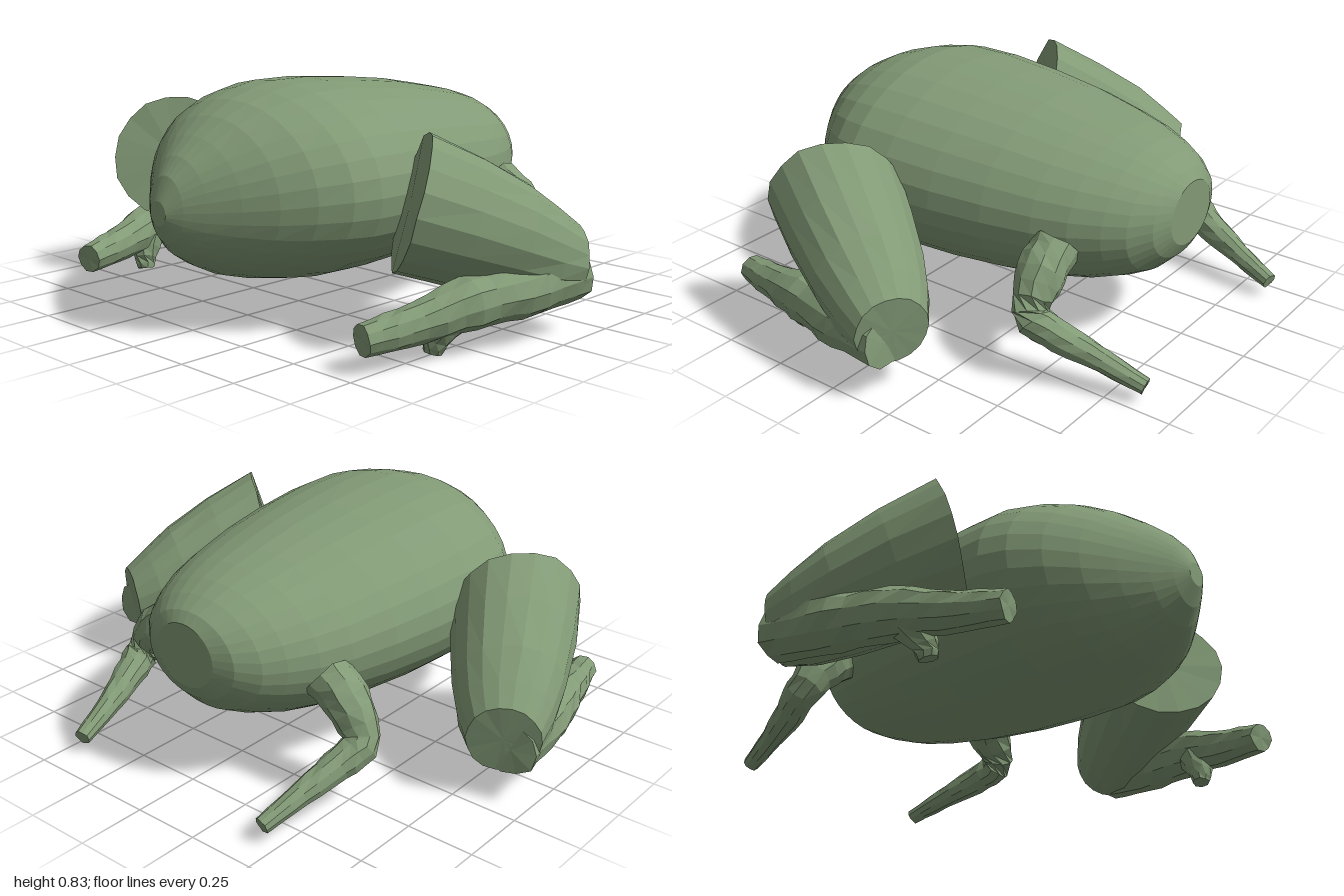
import * as THREE from 'three';

const V = (x, y, z) => new THREE.Vector3(x, y, z);

// Small repeatable noise for the crumpled limb surfaces
function seeded(seed) {
  return () => (seed = (seed * 16807) % 2147483647) / 2147483647 - 0.5;
}

// Skin over rings {c: centre, n: direction, rx, ry}, closed by flat caps
function loft(rings, sides, jitter = 0) {
  const pos = [], idx = [], rnd = seeded(77);
  for (const { c, n, rx, ry } of rings) {
    const dir = n.clone().normalize();
    const up = V(0, 1, 0).addScaledVector(dir, -dir.y).normalize();
    const side = up.clone().cross(dir);
    for (let j = 0; j < sides; j++) {
      const a = (j / sides) * Math.PI * 2, k = 1 + jitter * rnd();
      const p = c.clone().addScaledVector(side, Math.cos(a) * rx * k)
        .addScaledVector(up, Math.sin(a) * ry * k).addScaledVector(dir, jitter * rx * rnd());
      pos.push(p.x, p.y, p.z);
    }
  }
  const last = rings.length - 1, start = rings.length * sides;
  for (const r of [rings[0], rings[last]]) pos.push(r.c.x, r.c.y, r.c.z);
  for (let j = 0; j < sides; j++) {
    const k = (j + 1) % sides;
    for (let i = 0; i < last; i++) {
      const a = i * sides + j, b = i * sides + k;
      idx.push(a, b, a + sides, b, b + sides, a + sides);
    }
    idx.push(start, k, j, start + 1, last * sides + j, last * sides + k);
  }
  const g = new THREE.BufferGeometry();
  g.setAttribute('position', new THREE.Float32BufferAttribute(pos, 3));
  g.setIndex(idx);
  const flat = g.toNonIndexed();
  flat.computeVertexNormals();
  return flat;
}

// Tapered limb through points [x, y, z, radius]
function limb(points, s, sides, steps, jitter) {
  const curve = new THREE.CatmullRomCurve3(points.map(p => V(p[0] * s, p[1], p[2])), false, 'centripetal');
  const rings = [];
  for (let i = 0; i <= steps; i++) {
    const t = i / steps, f = t * (points.length - 1);
    const k = Math.min(Math.floor(f), points.length - 2);
    const r = THREE.MathUtils.lerp(points[k][3], points[k + 1][3], f - k);
    rings.push({ c: curve.getPoint(t), n: curve.getTangent(t), rx: r, ry: r });
  }
  return loft(rings, sides, jitter);
}

export function createModel() {
  const model = new THREE.Group();
  const skin = new THREE.MeshStandardMaterial({ color: 0x829a76 });
  skin.name = 'sage green skin';
  const add = (name, geometry) => {
    const m = new THREE.Mesh(geometry, skin);
    m.name = name;
    model.add(m);
  };

  // Body stations: z, half width, top, bottom
  const body = [
    [-0.76, 0.13, 0.6, 0.37], [-0.73, 0.2, 0.635, 0.32], [-0.67, 0.27, 0.67, 0.26],
    [-0.6, 0.32, 0.7, 0.225], [-0.5, 0.375, 0.728, 0.19], [-0.38, 0.42, 0.752, 0.165],
    [-0.2, 0.465, 0.785, 0.14], [0, 0.5, 0.808, 0.125], [0.2, 0.52, 0.824, 0.12],
    [0.36, 0.52, 0.824, 0.125], [0.46, 0.49, 0.806, 0.138], [0.56, 0.425, 0.775, 0.155],
    [0.65, 0.34, 0.728, 0.18], [0.73, 0.245, 0.67, 0.22], [0.8, 0.155, 0.61, 0.265],
    [0.85, 0.09, 0.55, 0.32], [0.885, 0.04, 0.47, 0.385],
  ];
  add('body', loft(body.map(([z, w, top, bottom]) => ({
    c: V(0, (top + bottom) / 2, z), n: V(0, 0, 1), rx: w, ry: (top - bottom) / 2,
  })), 32));

  for (const [s, label] of [[1, 'left'], [-1, 'right']]) {
    // Thigh: thick cut-off cylinder with slanted ends; x, y, z, nx, ny, nz, radius
    const thigh = [
      [0.61, 0.47, 0.325, 0.66, -0.26, -0.7, 0.24],
      [0.7, 0.4, 0.17, 0.58, -0.32, -0.75, 0.222],
      [0.79, 0.325, 0.01, 0.54, -0.3, -0.8, 0.194],
      [0.85, 0.272, -0.1, 0.5, -0.2, -0.84, 0.165],
      [0.9, 0.238, -0.185, 0.5, -0.1, -0.86, 0.127],
    ];
    add(label + 'Thigh', loft(thigh.map(([x, y, z, nx, ny, nz, r]) => ({
      c: V(x * s, y, z), n: V(nx * s, ny, nz), rx: r, ry: r,
    })), 18, 0.03));

    // Folded shin and foot, with the heel stub beneath
    add(label + 'Shin', limb([
      [0.92, 0.2, -0.17, 0.09], [0.88, 0.18, 0.06, 0.095], [0.825, 0.165, 0.28, 0.088],
      [0.765, 0.125, 0.5, 0.066], [0.72, 0.107, 0.67, 0.052],
    ], s, 10, 14, 0.13));
    add(label + 'Heel', limb([
      [0.79, 0.12, 0.34, 0.07], [0.765, 0.05, 0.37, 0.045], [0.755, 0.008, 0.375, 0.032],
    ], s, 8, 4, 0.12));

    // Small arm, bent at the elbow and reaching backwards
    add(label + 'Arm', limb([
      [0.36, 0.41, -0.45, 0.09], [0.45, 0.34, -0.455, 0.085], [0.53, 0.225, -0.475, 0.064],
      [0.51, 0.175, -0.56, 0.058], [0.47, 0.115, -0.71, 0.042], [0.437, 0.055, -0.87, 0.03],
    ], s, 10, 16, 0.12));
  }
  return model;
}
